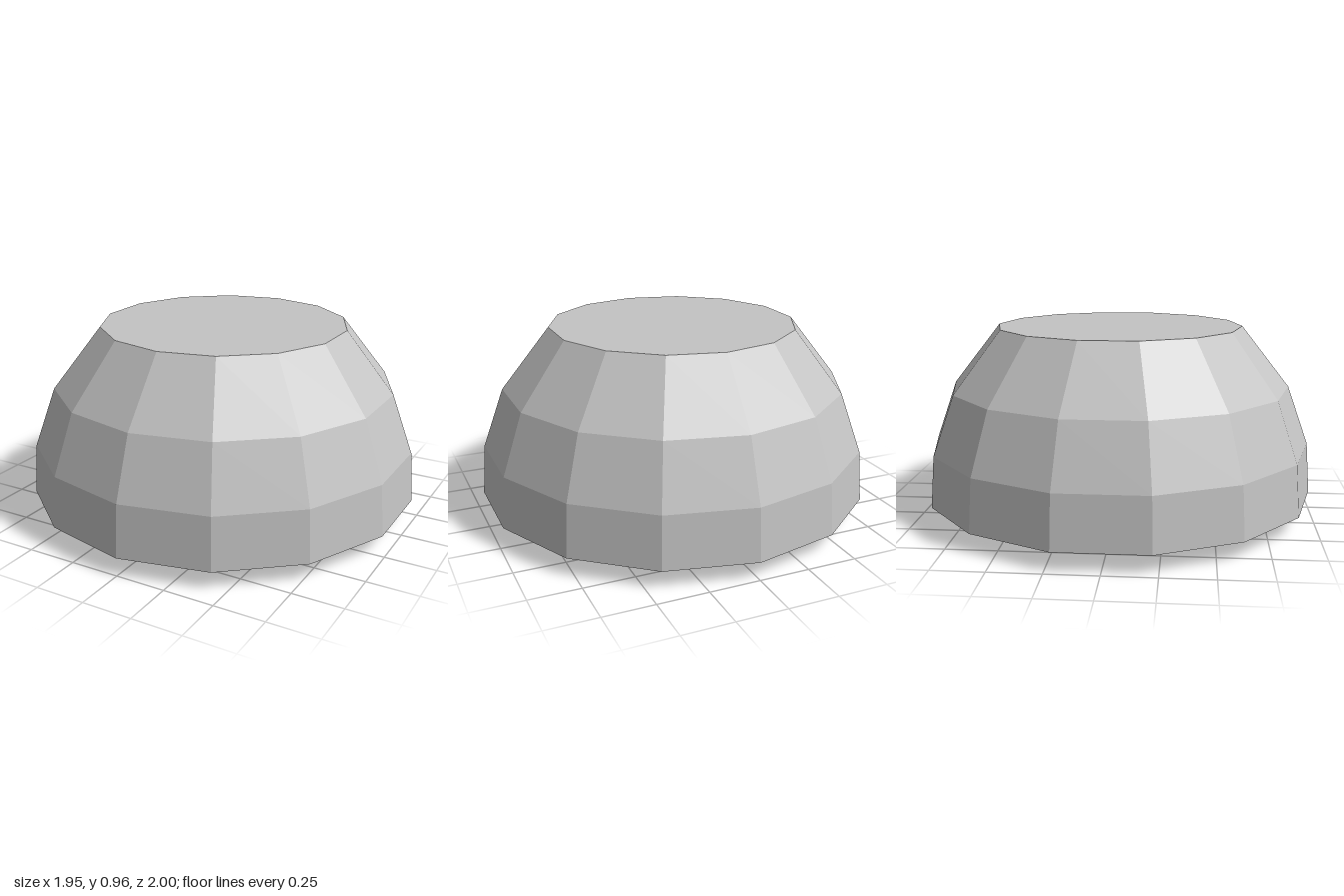
import * as THREE from 'three';

export function createModel() {
  const model = new THREE.Group();
  const shell = new THREE.MeshStandardMaterial({ color: 0xc4c4c4, flatShading: true, side: THREE.DoubleSide });
  shell.name = 'shell grey';

  const add = (name, geometry, x = 0, y = 0, z = 0, parent = model) => {
    const mesh = new THREE.Mesh(geometry, shell);
    mesh.name = name;
    mesh.position.set(x, y, z);
    parent.add(mesh);
    return mesh;
  };

  // Fourteen-sided dome, open below and flat on top
  const profile = [[1, 0], [0.98, 0.26], [0.872, 0.56], [0.628, 0.87], [0, 0.87]];
  const dome = (scale) => new THREE.LatheGeometry(
    profile.map(([r, y]) => new THREE.Vector2(r * scale, y * scale)), 14);
  add('outerDome', dome(1), 0, 0.09, 0);
  add('innerDome', dome(0.76), 0, 0.02, 0);

  // Square tray hung inside the inner dome
  const tray = new THREE.Group();
  tray.name = 'tray';
  tray.position.y = 0.4;
  model.add(tray);
  const size = 0.56;
  add('trayFloor', new THREE.BoxGeometry(size, 0.02, size), 0, 0.03, 0, tray);
  add('trayPanel', new THREE.BoxGeometry(0.36, 0.015, 0.36), 0, 0.005, 0, tray);
  for (let i = 0; i < 4; i++) {
    const side = new THREE.Group();
    side.name = 'traySide';
    side.rotation.y = i * Math.PI / 2;
    tray.add(side);
    add('trayRim', new THREE.BoxGeometry(size, 0.06, 0.03), 0, 0, size / 2 - 0.015, side);
    add('trayBracket', new THREE.BoxGeometry(0.12, 0.03, 0.06), 0, 0.02, size / 2 + 0.03, side);
    add('cornerPost', new THREE.CylinderGeometry(0.015, 0.015, 0.24, 6), 0.24, 0.15, 0.24, side);
  }

  // Small pendant with its thin cord, at the lowest point
  const pendant = add('pendant', new THREE.SphereGeometry(0.025, 8, 6), 0, 0.015, -0.02);
  pendant.scale.set(0.2, 0.6, 1);
  add('cord', new THREE.BoxGeometry(0.004, 0.004, 0.22), 0.01, 0.03, -0.14);

  // Small fan-shaped plate on the inner dome
  const fan = add('fanPlate', new THREE.CylinderGeometry(0.08, 0.08, 0.008, 10, 1, false, 0, Math.PI / 2),
    -0.43, 0.17, -0.53);
  fan.rotation.y = Math.PI;

  return model;
}
